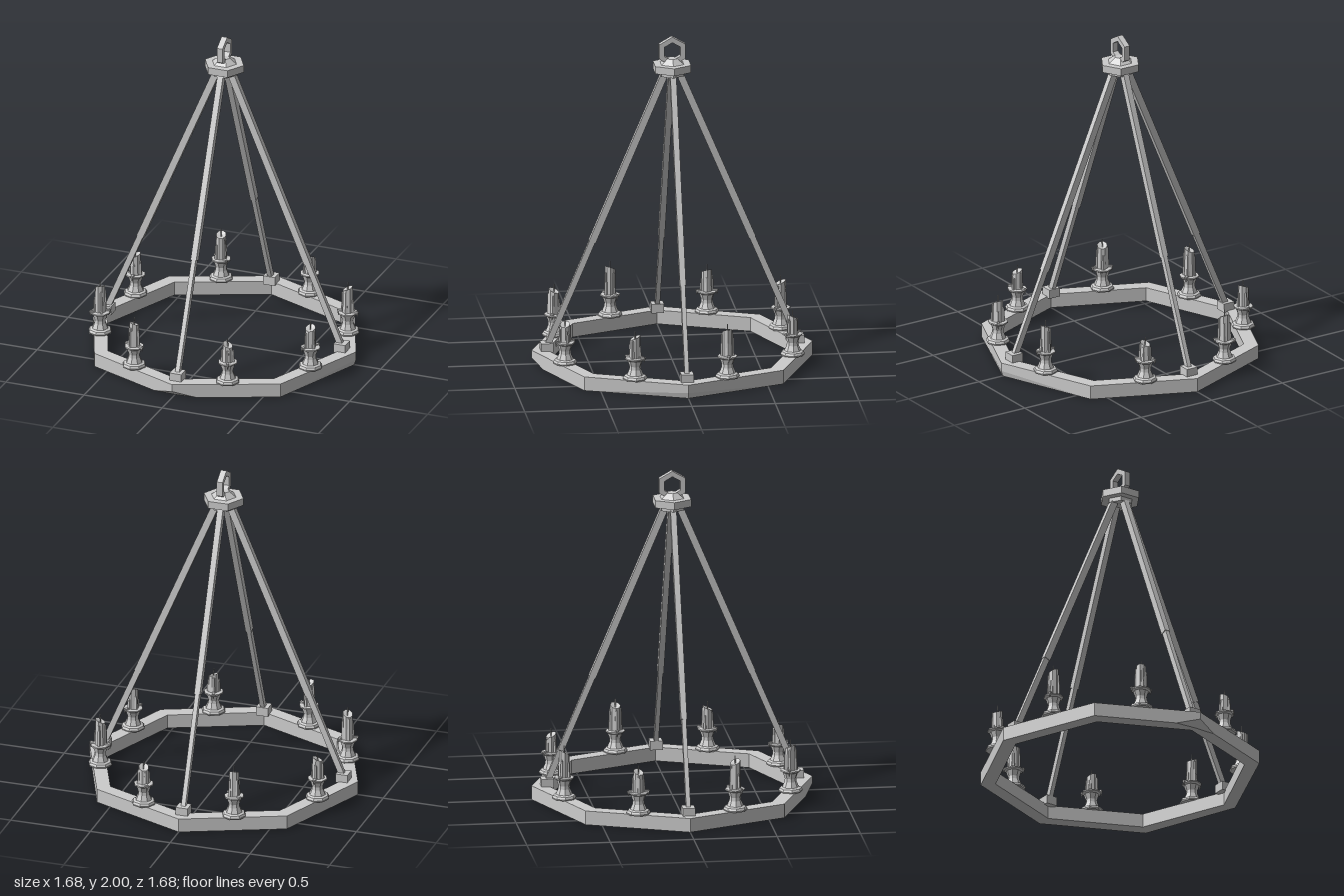
import * as THREE from 'three';

const mat = new THREE.MeshStandardMaterial({ color: 0xcccccc, flatShading: true });

function add(parent, name, geo, x = 0, y = 0, z = 0) {
  const m = new THREE.Mesh(geo, mat);
  m.name = name;
  m.position.set(x, y, z);
  parent.add(m);
  return m;
}

// Closed ring swept through cross-sections (each a loop of [radius, y])
function sweepRing(sections) {
  const pos = [];
  const pt = (s, j) => {
    const [r, y] = s.loop[j % s.loop.length];
    return [Math.sin(s.a) * r, y, Math.cos(s.a) * r];
  };
  sections.forEach((s, i) => {
    const t = sections[(i + 1) % sections.length];
    for (let j = 0; j < s.loop.length; j++) {
      const a = pt(s, j), b = pt(t, j), c = pt(t, j + 1), d = pt(s, j + 1);
      pos.push(...a, ...c, ...b, ...a, ...d, ...c);
    }
  });
  const g = new THREE.BufferGeometry();
  g.setAttribute('position', new THREE.Float32BufferAttribute(pos, 3));
  g.computeVertexNormals();
  return g;
}

// Octagonal beam ring; the front lower corner is chipped off
function beamRing() {
  const outer = 0.842, inner = 0.752, top = 0.085, step = Math.PI / 4;
  const section = (a, k, cutR = 0, cutY = 0) => ({
    a,
    loop: [[inner * k, top], [outer * k, top], [outer * k, cutY], [outer * k - cutR, 0], [inner * k, 0]],
  });
  const side = 0.17; // angle where the chip fades out
  const k = Math.cos(step / 2) / Math.cos(step / 2 - side);
  const sections = [section(0, 1, 0.05, 0.04), section(side, k)];
  for (let i = 1; i < 8; i++) sections.push(i === 2 ? section(i * step, 1, 0.01, 0.035) : section(i * step, 1));
  sections.push(section(-side, k));
  return sweepRing(sections);
}

// Box beam between two points
function beam(parent, name, a, b, w, d) {
  const dir = b.clone().sub(a);
  const m = add(parent, name, new THREE.BoxGeometry(w, dir.length(), d));
  m.position.copy(a).add(b).multiplyScalar(0.5);
  m.quaternion.setFromUnitVectors(new THREE.Vector3(0, 1, 0), dir.normalize());
}

// Holder, wax with uneven rim and drips, and wick
function candle(wickTop, seed) {
  const g = new THREE.Group();
  g.name = 'candle';
  const profile = [[0, 0.083], [0.07, 0.083], [0.073, 0.092], [0.066, 0.106], [0.05, 0.112], [0.036, 0.145],
    [0.034, 0.165], [0.046, 0.2], [0.06, 0.208], [0.06, 0.216], [0.03, 0.218], [0, 0.218]];
  add(g, 'holder', new THREE.LatheGeometry(profile.map(p => new THREE.Vector2(...p)), 8));

  const top = wickTop - 0.04, h = top - 0.21;
  const wax = new THREE.CylinderGeometry(0.031, 0.034, h, 8, 1);
  const p = wax.attributes.position;
  for (let i = 0; i < p.count; i++) {
    const x = p.getX(i), z = p.getZ(i);
    if (p.getY(i) < 0) continue;
    const rim = Math.hypot(x, z) > 0.01;
    p.setY(i, h / 2 + (rim ? 0.014 * Math.sin(Math.atan2(z, x) + seed) : -0.012));
  }
  add(g, 'wax', wax, 0, 0.21 + h / 2, 0);

  // Drips run down the wax, some spilling over the plate
  for (let i = 0; i < 4; i++) {
    const a = seed * 1.7 + i * 1.6;
    const len = h * (0.55 + 0.35 * Math.abs(Math.sin(seed * 3 + i * 2)));
    const x = Math.cos(a), z = Math.sin(a);
    add(g, 'waxDrip', new THREE.CylinderGeometry(0.007, 0.012, len, 5), x * 0.031, 0.21 + len / 2, z * 0.031);
    if (i % 2 === 0) {
      add(g, 'waxSpill', new THREE.BoxGeometry(0.025, 0.012, 0.016), x * 0.05, 0.22, z * 0.05).rotation.y = -a;
      add(g, 'waxDrop', new THREE.ConeGeometry(0.009, 0.035, 5), x * 0.06, 0.205, z * 0.06).rotation.x = Math.PI;
    }
  }
  const wick = add(g, 'wick', new THREE.CylinderGeometry(0.003, 0.004, 0.055, 4), 0, wickTop - 0.0275, 0);
  wick.rotation.z = 0.1 * Math.sin(seed * 2);
  return g;
}

export function createModel() {
  const root = new THREE.Group();
  root.name = 'candleChandelier';
  add(root, 'beamRing', beamRing());

  // Four hanging rods with foot blocks, thinner in the lower part
  for (let i = 0; i < 4; i++) {
    const arm = new THREE.Group();
    arm.name = 'hangingRod';
    arm.rotation.y = i * Math.PI / 2;
    const foot = new THREE.Vector3(0, 0.11, 0.748), head = new THREE.Vector3(0, 1.78, 0.042);
    const mid = foot.clone().lerp(head, i % 2 ? 0.3 : 0.38);
    beam(arm, 'lowerRod', foot, mid, 0.027, 0.036);
    beam(arm, 'upperRod', mid, head, 0.036, 0.042);
    add(arm, 'footBlock', new THREE.BoxGeometry(0.075, 0.055, 0.075), 0, 0.105, 0.75);
    root.add(arm);
  }

  // Hexagonal hub: collar, plate and dome
  const hub = new THREE.Group();
  hub.name = 'hub';
  hub.rotation.y = Math.PI / 6;
  add(hub, 'collar', new THREE.CylinderGeometry(0.078, 0.078, 0.035, 6), 0, 1.78, 0);
  add(hub, 'plate', new THREE.CylinderGeometry(0.124, 0.124, 0.045, 6), 0, 1.812, 0);
  add(hub, 'dome', new THREE.CylinderGeometry(0.035, 0.078, 0.032, 6), 0, 1.85, 0);
  root.add(hub);

  // Hexagonal hanging eye
  const hexagon = (path, r) => {
    for (let i = 0; i < 6; i++) {
      const a = Math.PI / 2 + i * Math.PI / 3;
      path[i ? 'lineTo' : 'moveTo'](Math.cos(a) * r, Math.sin(a) * r);
    }
    path.closePath();
    return path;
  };
  const shape = hexagon(new THREE.Shape(), 0.09);
  shape.holes.push(hexagon(new THREE.Path(), 0.056));
  const eye = new THREE.ExtrudeGeometry(shape, { depth: 0.036, bevelEnabled: false }).translate(0, 0, -0.018);
  add(root, 'hangingEye', eye, 0, 1.91, 0).rotation.y = Math.PI / 2;

  // Eight candles: x, z, wick height
  [[0.27, -0.69, 0.36], [0.69, -0.25, 0.41], [0.67, 0.3, 0.38], [0.29, 0.675, 0.365],
    [-0.31, 0.67, 0.4], [-0.68, 0.29, 0.42], [-0.685, -0.29, 0.38], [-0.295, -0.685, 0.41],
  ].forEach(([x, z, top], i) => {
    const c = candle(top, i * 1.3 + 0.5);
    c.position.set(x, 0, z);
    root.add(c);
  });
  return root;
}
